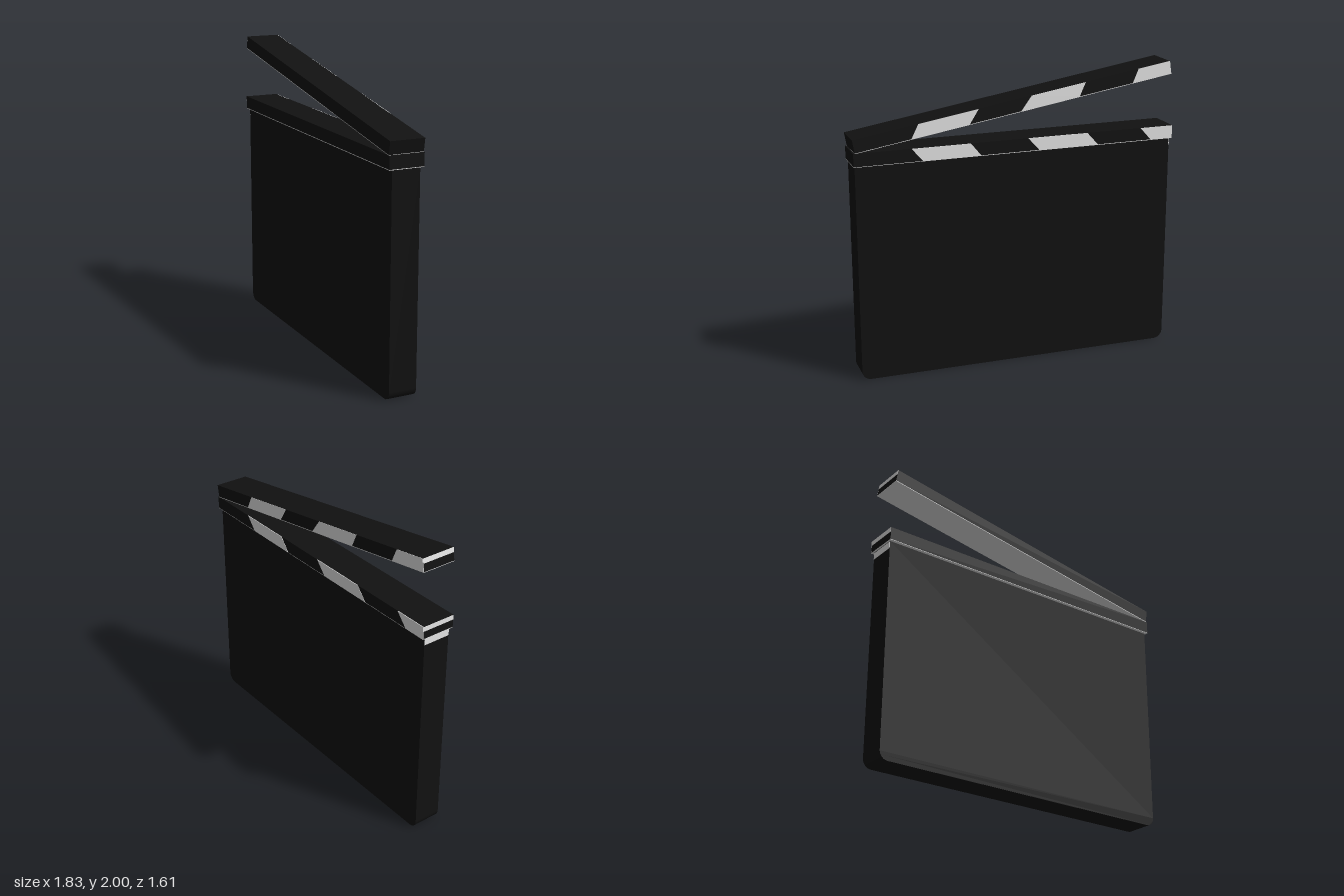
import * as THREE from 'three';

const black = new THREE.MeshStandardMaterial({ color: 0x111111 });
black.name = 'matte black';
const white = new THREE.MeshStandardMaterial({ color: 0xf0f0f0 });
white.name = 'off white';

const STICK_DEPTH = 0.234;
const STICK_HEIGHT = 0.086;
const PLATE = 0.004;

function addBox(parent, name, material, w, h, d, x, y, z) {
  const mesh = new THREE.Mesh(new THREE.BoxGeometry(w, h, d), material);
  mesh.name = name;
  mesh.position.set(x, y, z);
  parent.add(mesh);
}

// A stick runs from x = 0 (hinge end) to x = -length, with its base on y = 0.
// Each stripe is [bottom start, bottom end, top start, top end], measured from the hinge.
function makeStick(name, length, stripes) {
  const stick = new THREE.Group();
  stick.name = name;
  addBox(stick, 'stickBody', black, length, STICK_HEIGHT, STICK_DEPTH, -length / 2, STICK_HEIGHT / 2, 0);
  // Pale underside and the narrow pale band on the free end
  addBox(stick, 'underside', white, length, PLATE, STICK_DEPTH, -length / 2, -PLATE / 2 + 0.001, 0);
  addBox(stick, 'endBand', white, PLATE, STICK_HEIGHT * 0.36, STICK_DEPTH,
    -length, STICK_HEIGHT * 0.8, 0);
  // Slanted painted stripes on the back face
  for (const [b0, b1, t0, t1] of stripes) {
    const shape = new THREE.Shape([
      new THREE.Vector2(-b1, 0), new THREE.Vector2(-b0, 0),
      new THREE.Vector2(-t0, STICK_HEIGHT), new THREE.Vector2(-t1, STICK_HEIGHT),
    ]);
    const geometry = new THREE.ExtrudeGeometry(shape, { depth: PLATE, bevelEnabled: false });
    const stripe = new THREE.Mesh(geometry, white);
    stripe.name = 'stripe';
    stripe.position.z = -STICK_DEPTH / 2 - PLATE / 2;
    stick.add(stripe);
  }
  return stick;
}

// Slate panel with rounded lower corners
function makeSlate() {
  const w = 1.09, top = 1.47, r = 0.06, depth = 0.19;
  const shape = new THREE.Shape();
  shape.moveTo(-w, top);
  shape.lineTo(-w, r);
  shape.absarc(-w + r, r, r, Math.PI, Math.PI * 1.5, false);
  shape.lineTo(w - r, 0);
  shape.absarc(w - r, r, r, Math.PI * 1.5, Math.PI * 2, false);
  shape.lineTo(w, top);
  shape.closePath();
  const geometry = new THREE.ExtrudeGeometry(shape, { depth, bevelEnabled: false, curveSegments: 8 });
  geometry.translate(0, 0, -depth / 2);
  const slate = new THREE.Group();
  slate.name = 'slate';
  const panel = new THREE.Mesh(geometry, black);
  panel.name = 'slatePanel';
  slate.add(panel);
  addBox(slate, 'slateEndBand', white, PLATE, 0.045, depth, -w, 1.442, 0);
  return slate;
}

export function createModel() {
  const model = new THREE.Group();
  model.name = 'clapperboard';

  const board = new THREE.Group();
  board.name = 'board';
  board.rotation.y = THREE.MathUtils.degToRad(-40.3);
  model.add(board);

  board.add(makeSlate());

  // Fixed lower stick, tilted a hair
  const lower = makeStick('lowerStick', 2.2, [
    [0.45, 0.84, 0.376, 0.77],
    [1.24, 1.657, 1.163, 1.58],
    [2.043, 2.2, 1.966, 2.2],
  ]);
  lower.position.set(1.1, 1.463, 0);
  lower.rotation.z = -0.0045;
  board.add(lower);

  // Raised clapper stick, hinged at the +x end
  const upper = makeStick('clapperStick', 2.2, [
    [0.371, 0.763, 0.433, 0.84],
    [1.117, 1.53, 1.205, 1.587],
    [1.915, 2.2, 1.97, 2.2],
  ]);
  upper.position.set(1.09, 1.551, 0);
  upper.rotation.z = THREE.MathUtils.degToRad(-9.55);
  board.add(upper);

  return model;
}
